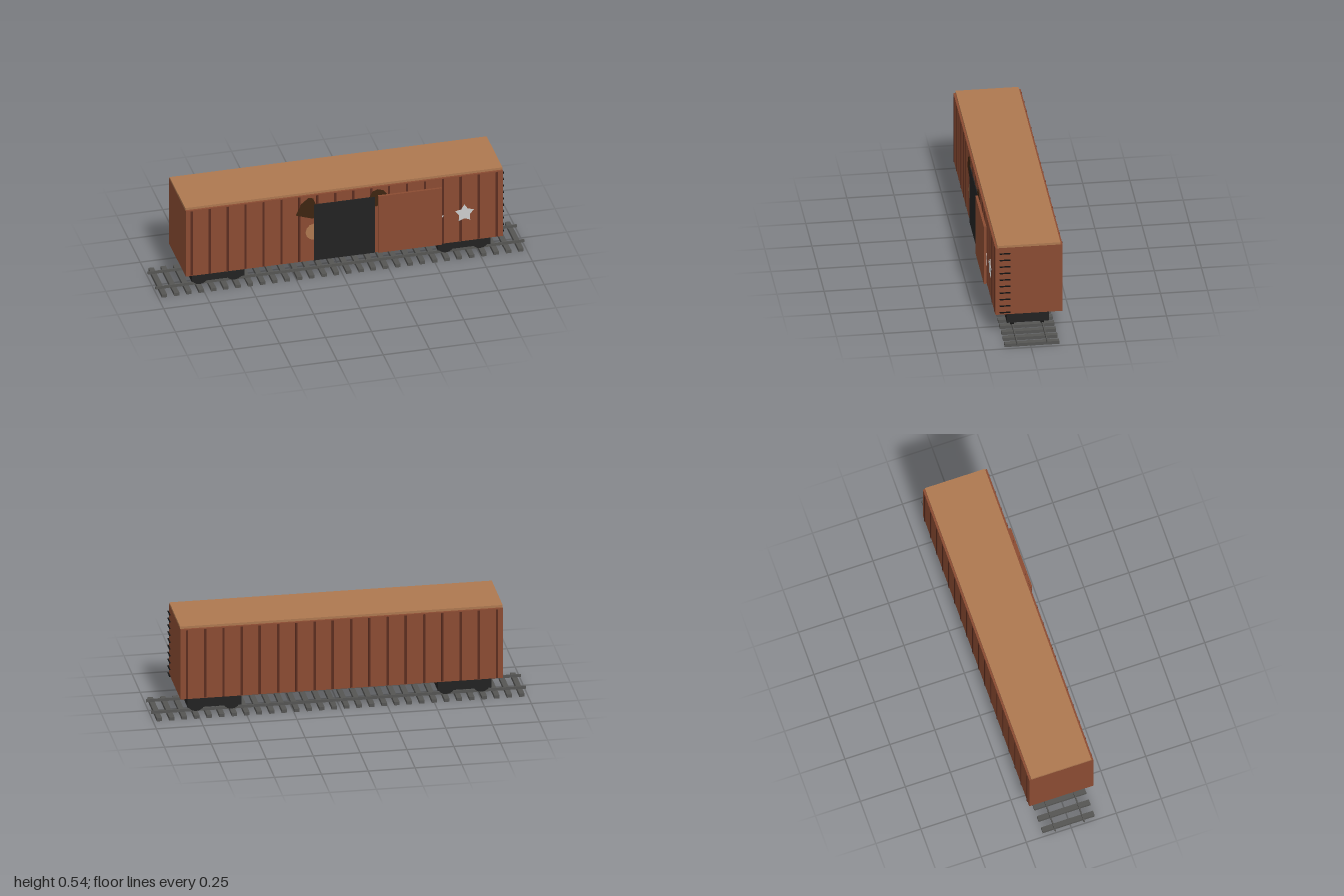
import * as THREE from 'three';

const mat = (name, color, side = THREE.FrontSide) => {
  const m = new THREE.MeshStandardMaterial({ color, side });
  m.name = name;
  return m;
};

export function createModel() {
  const rust = mat('rust', 0x8a4b32);
  const rib = mat('darkRust', 0x5a2c1f);
  const tan = mat('tan', 0xad7850);
  const black = mat('black', 0x222222);
  const rungBlack = mat('rungBlack', 0x111111);
  const grey = mat('grey', 0x555553);
  const brown = mat('darkBrown', 0x3d2410);
  const white = mat('paleGrey', 0xcccccc);

  const model = new THREE.Group();
  model.name = 'boxcar';

  const add = (name, geometry, material, parent = model) => {
    const mesh = new THREE.Mesh(geometry, material);
    mesh.name = name;
    parent.add(mesh);
    return mesh;
  };
  // Box given by its limits on each axis
  const box = (name, [x0, x1], [y0, y1], [z0, z1], material, parent) => {
    const g = new THREE.BoxGeometry(x1 - x0, y1 - y0, z1 - z0);
    g.translate((x0 + x1) / 2, (y0 + y1) / 2, (z0 + z1) / 2);
    return add(name, g, material, parent);
  };
  const group = (name) => {
    const g = new THREE.Group();
    g.name = name;
    model.add(g);
    return g;
  };
  // Thin painted plate on the front wall
  const plate = (name, points, material, z = 0.1715) => {
    const shape = new THREE.Shape(points.map(([x, y]) => new THREE.Vector2(x, y)));
    const g = new THREE.ExtrudeGeometry(shape, { depth: 0.0025, bevelEnabled: false });
    return add(name, g.translate(0, 0, z), material);
  };

  // Track: sleepers and two rails
  const track = group('track');
  for (let i = 0; i < 30; i++) {
    const x = (i + 0.5) / 15 - 1;
    box('sleeper', [x - 0.014, x + 0.014], [0, 0.018], [-0.152, 0.137], grey, track);
  }
  for (const z of [0.073, -0.087]) {
    box('rail', [-1, 1], [0.018, 0.034], [z - 0.003, z + 0.003], grey, track);
  }

  // Wheel trucks
  for (const side of [-1, 1]) {
    const truck = group('truck');
    const cx = side * 0.667;
    box('truckFrame', [cx - 0.143, cx + 0.143], [0.051, 0.118], [-0.118, 0.104], black, truck);
    for (const dx of [-0.094, 0.094]) {
      for (const z of [0.073, -0.087]) {
        const wheel = add('wheel', new THREE.CylinderGeometry(0.048, 0.048, 0.016, 16), black, truck);
        wheel.rotation.x = Math.PI / 2;
        wheel.position.set(cx + dx, 0.068, z);
      }
    }
  }

  // Body and roof
  box('body', [-0.86, 0.86], [0.13, 0.528], [-0.185, 0.171], rust);
  box('roof', [-0.86, 0.86], [0.528, 0.541], [-0.174, 0.16], tan);

  // Vertical ribs on both long walls
  const ribs = group('ribs');
  for (let i = 0; i < 18; i++) {
    const x = -0.828 + i * 0.0973;
    box('frontRib', [x - 0.006, x + 0.006], [0.133, 0.523], [0.17, 0.1732], rib, ribs);
    box('backRib', [x - 0.006, x + 0.006], [0.133, 0.523], [-0.188, -0.184], rib, ribs);
  }

  // Doorway and the door slid open beside it
  box('doorway', [-0.165, 0.165], [0.131, 0.47], [0.17, 0.1755], black);
  box('door', [0.18, 0.525], [0.135, 0.478], [0.1755, 0.189], rust);

  // Painted patches
  plate('leftPatch', [[-0.263, 0.417], [-0.235, 0.481], [-0.195, 0.513], [-0.17, 0.508],
    [-0.158, 0.475], [-0.13, 0.455], [-0.15, 0.4], [-0.171, 0.386], [-0.2, 0.395]], brown);
  plate('middlePatch', [[0.137, 0.44], [0.139, 0.478], [0.152, 0.502], [0.18, 0.513],
    [0.21, 0.503], [0.23, 0.478], [0.22, 0.43], [0.17, 0.41]], brown);
  const disc = [];
  for (let i = 0; i < 12; i++) {
    const a = (i / 12) * Math.PI * 2;
    disc.push([-0.165 + 0.046 * Math.cos(a), 0.305 + 0.048 * Math.sin(a)]);
  }
  plate('tanDisc', disc, tan);

  // Splashes with five points; one is mostly behind the door
  const star = (cx, cy, r) => {
    const pts = [];
    for (let i = 0; i < 10; i++) {
      const a = Math.PI / 2 + (i / 10) * Math.PI * 2;
      const k = i % 2 ? r * 0.58 : r;
      pts.push([cx + k * Math.cos(a), cy + k * Math.sin(a)]);
    }
    return pts;
  };
  plate('starSplash', star(0.651, 0.3, 0.053), white);
  plate('hiddenSplash', star(0.49, 0.286, 0.052), white);

  // Ladder rungs on the left end
  const ladder = group('ladder');
  for (let i = 0; i < 10; i++) {
    const y = 0.146 + i * 0.039;
    box('rung', [0.866, 0.872], [y - 0.0025, y + 0.0025], [0.092, 0.149], rungBlack, ladder);
  }

  return model;
}
